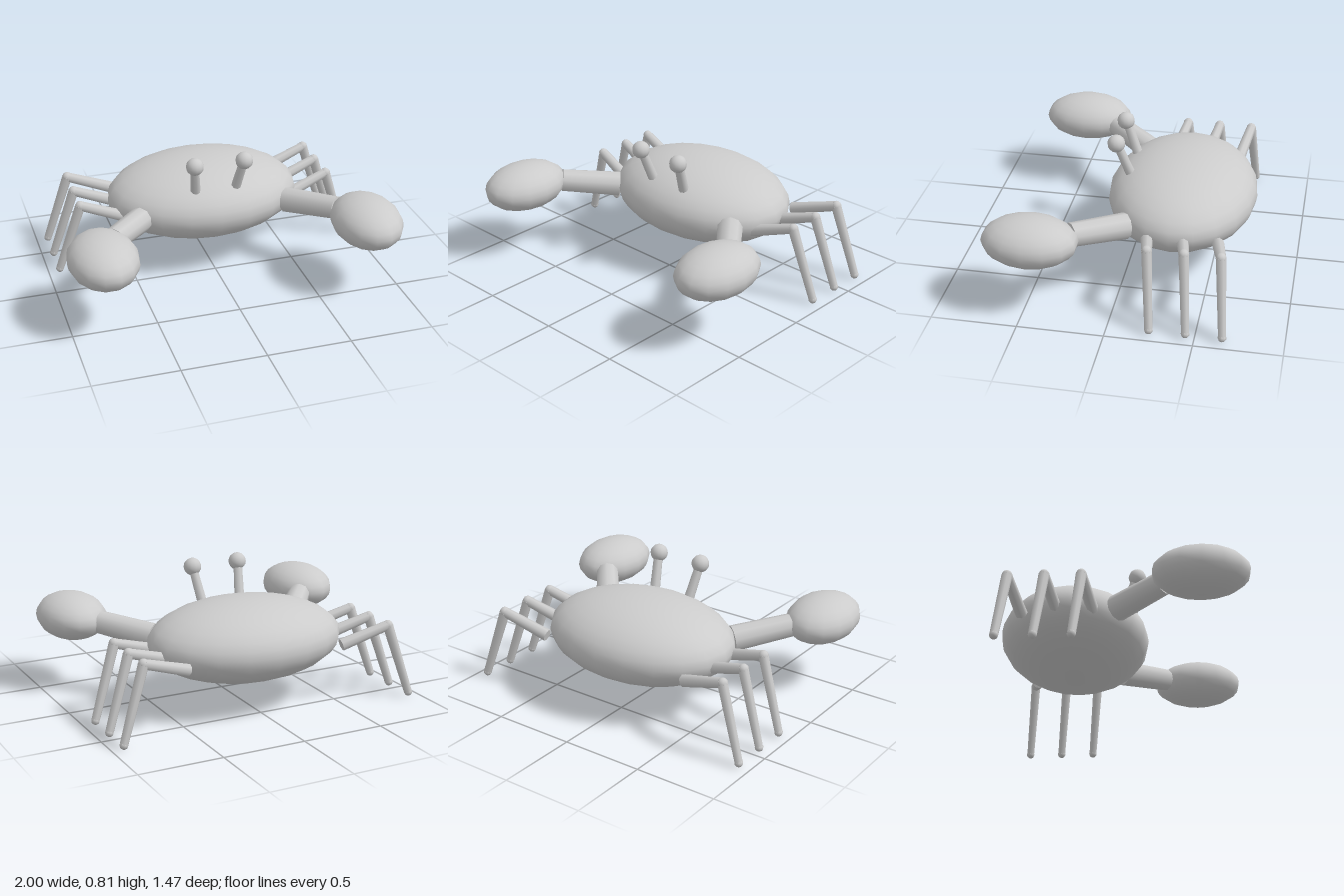
import * as THREE from 'three';

const material = new THREE.MeshStandardMaterial({ color: 0xcccccc });

// Stretched ball at a centre, with radii along x, y and z
function ellipsoid(name, center, radii, wide, high) {
  const mesh = new THREE.Mesh(new THREE.SphereGeometry(1, wide, high), material);
  mesh.name = name;
  mesh.position.set(...center);
  mesh.scale.set(...radii);
  return mesh;
}

// Tapered rod between two points
function rod(name, from, to, r0, r1, sides) {
  const a = new THREE.Vector3(...from);
  const b = new THREE.Vector3(...to);
  const dir = b.clone().sub(a);
  const mesh = new THREE.Mesh(new THREE.CylinderGeometry(r1, r0, dir.length(), sides), material);
  mesh.name = name;
  mesh.position.copy(a).add(b).multiplyScalar(0.5);
  mesh.quaternion.setFromUnitVectors(new THREE.Vector3(0, 1, 0), dir.normalize());
  return mesh;
}

export function createModel() {
  const model = new THREE.Group();
  model.name = 'crab';

  model.add(ellipsoid('shell', [0, 0.405, -0.294], [0.6, 0.24, 0.445], 20, 16));

  for (const [side, s] of [['left', 1], ['right', -1]]) {
    // Front arm with its large claw
    const arm = new THREE.Group();
    arm.name = `${side}ClawArm`;
    arm.add(
      rod('arm', [s * 0.464, 0.4, -0.025], [s * 0.69, 0.445, 0.25], 0.078, 0.07, 10),
      ellipsoid('claw', [s * 0.795, 0.45, 0.458], [0.205, 0.14, 0.278], 14, 12)
    );
    model.add(arm);

    // Eye on a leaning stalk
    const eye = new THREE.Group();
    eye.name = `${side}Eye`;
    eye.add(
      rod('eyeStalk', [s * 0.126, 0.555, 0.008], [s * 0.152, 0.755, 0.082], 0.031, 0.027, 8),
      ellipsoid('eyeball', [s * 0.152, 0.762, 0.088], [0.053, 0.053, 0.053], 12, 10)
    );
    model.add(eye);

    // Three bent walking legs
    [-0.205, -0.412, -0.618].forEach((z, i) => {
      const hip = [s * 0.5, 0.36, z + 0.05];
      const knee = [s * 0.79, 0.455, z];
      const foot = [s * 0.93, 0.025, z - 0.037];
      const leg = new THREE.Group();
      leg.name = `${side}Leg${i + 1}`;
      leg.add(
        rod('upperLeg', hip, knee, 0.037, 0.03, 8),
        ellipsoid('knee', knee, [0.031, 0.031, 0.031], 8, 8),
        rod('lowerLeg', knee, foot, 0.031, 0.024, 8),
        ellipsoid('foot', foot, [0.025, 0.025, 0.025], 8, 8)
      );
      model.add(leg);
    });
  }

  return model;
}
